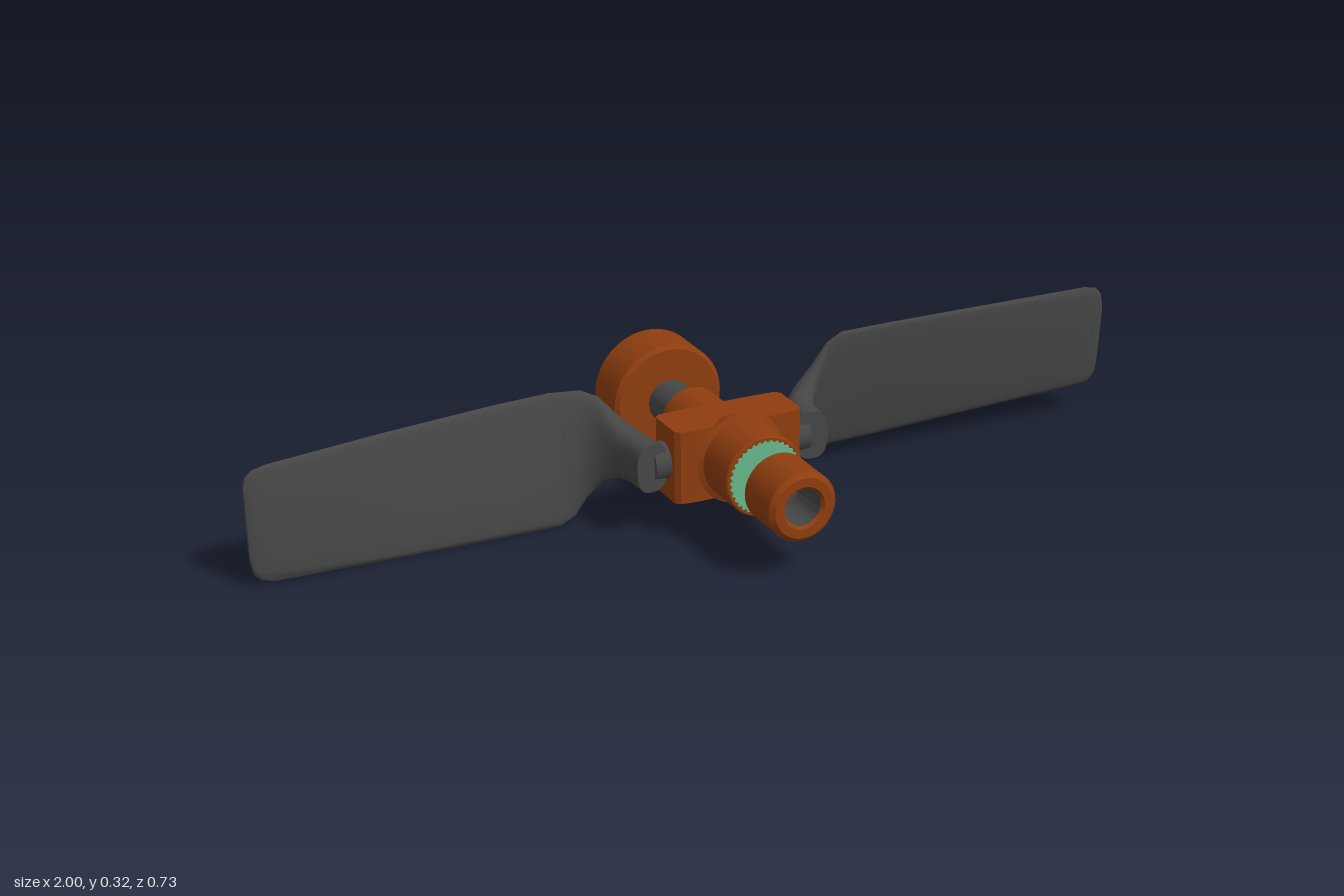
import * as THREE from 'three';
import { toCreasedNormals } from 'three/addons/utils/BufferGeometryUtils.js';

const material = (name, color) => {
  const m = new THREE.MeshStandardMaterial({ color });
  m.name = name;
  return m;
};

// Round part along z from [radius, z] pairs
function turned(profile) {
  const geo = new THREE.LatheGeometry(profile.map(p => new THREE.Vector2(p[0], p[1])), 48);
  return toCreasedNormals(geo.rotateX(Math.PI / 2), 0.45);
}

// Loft along a bent path; station: x, z, half thickness, top, bottom, chord tilt in z, skew in x
function bladeGeometry() {
  const stations = [
    [0.185, 0.055, 0.036, 0.054, -0.052, 0, 0],
    [0.190, 0.000, 0.035, 0.053, -0.052, 0, 0],
    [0.202, -0.040, 0.034, 0.053, -0.056, 0, 0.004],
    [0.222, -0.075, 0.029, 0.066, -0.074, 0.006, 0.012],
    [0.250, -0.098, 0.019, 0.102, -0.104, 0.015, 0.020],
    [0.280, -0.108, 0.012, 0.142, -0.118, 0.022, 0.018],
    [0.330, -0.111, 0.010, 0.159, -0.122, 0.025, 0],
    [0.450, -0.111, 0.010, 0.159, -0.119, 0.024, 0],
    [0.700, -0.109, 0.010, 0.156, -0.107, 0.020, 0],
    [0.950, -0.105, 0.010, 0.152, -0.093, 0.012, 0],
    [0.980, -0.104, 0.009, 0.145, -0.087, 0.010, 0],
    [0.994, -0.104, 0.008, 0.130, -0.076, 0.009, 0],
    [1.000, -0.104, 0.005, 0.105, -0.060, 0.008, 0],
  ];
  const sides = 28, pos = [], index = [];
  const rounded = (v, power) => Math.sign(v) * Math.pow(Math.abs(v), power);
  stations.forEach(([x, z, thick, top, bottom, tilt, skew], i) => {
    const a = stations[Math.max(i - 1, 0)], b = stations[Math.min(i + 1, stations.length - 1)];
    const length = Math.hypot(b[0] - a[0], b[1] - a[1]);
    const nx = -(b[1] - a[1]) / length, nz = (b[0] - a[0]) / length;
    for (let j = 0; j < sides; j++) {
      const angle = j / sides * Math.PI * 2;
      const u = rounded(Math.cos(angle), 0.7) * thick, v = rounded(Math.sin(angle), 0.8);
      pos.push(x + nx * u + skew * v, (top + bottom) / 2 + v * (top - bottom) / 2, z + nz * u + tilt * v);
    }
  });
  const last = (stations.length - 1) * sides, c0 = pos.length / 3;
  for (const s of [stations[0], stations[stations.length - 1]]) pos.push(s[0], (s[3] + s[4]) / 2, s[1]);
  for (let j = 0; j < sides; j++) {
    const k = (j + 1) % sides;
    for (let i = 0; i < last; i += sides) {
      index.push(i + j, i + sides + j, i + k, i + k, i + sides + j, i + sides + k);
    }
    index.push(c0, j, k, c0 + 1, last + k, last + j);
  }
  const geo = new THREE.BufferGeometry();
  geo.setAttribute('position', new THREE.Float32BufferAttribute(pos, 3));
  geo.setIndex(index);
  return toCreasedNormals(geo, 0.9);
}

export function createModel() {
  const model = new THREE.Group();
  model.name = 'propeller';
  const rust = material('rust orange', 0x8f3d0f);
  const grey = material('dark grey', 0x464646);
  const mint = material('mint green', 0x66b88c);

  const axis = new THREE.Group();
  axis.name = 'propellerAxis';
  axis.position.y = 0.16;
  model.add(axis);
  const add = (name, geo, mat) => {
    const mesh = new THREE.Mesh(geo, mat);
    mesh.name = name;
    axis.add(mesh);
    return mesh;
  };

  // Hub barrel with a flared collar
  add('hubBarrel', turned([[0, -0.15], [0.064, -0.15], [0.07, -0.144], [0.07, -0.04], [0.08, -0.02],
    [0.08, 0.04], [0.1, 0.088], [0.088, 0.093], [0.088, 0.194], [0.085, 0.197], [0, 0.197]]), rust);

  // Crosswise hub block with chamfered ends
  const half = [[0.06, -0.025], [0.135, -0.022], [0.145, -0.012], [0.145, 0.074], [0.135, 0.084], [0.1, 0.088]];
  const outline = [...half, ...half.map(([x, z]) => [-x, z]).reverse()];
  const block = new THREE.ExtrudeGeometry(new THREE.Shape(outline.map(p => new THREE.Vector2(...p))),
    { depth: 0.16, bevelEnabled: false });
  add('hubBlock', block.rotateX(Math.PI / 2).translate(0, 0.08, 0), rust);

  // Serrated washer on the front of the hub
  const teeth = Array.from({ length: 72 }, (_, i) => {
    const a = i / 72 * Math.PI * 2, r = i % 2 ? 0.075 : 0.081;
    return new THREE.Vector2(Math.cos(a) * r, Math.sin(a) * r);
  });
  const washer = new THREE.ExtrudeGeometry(new THREE.Shape(teeth), { depth: 0.004, bevelEnabled: false });
  add('washer', washer.translate(0, 0, 0.196), mint);

  // Front nut with a dark bore
  add('frontNut', turned([[0, 0.243], [0.065, 0.243], [0.075, 0.253], [0.075, 0.357], [0.065, 0.367],
    [0.046, 0.367], [0.04, 0.36]]), rust);
  add('nutBore', turned([[0.04, 0.36], [0.038, 0.27], [0, 0.27]]), grey);

  // Rear shaft and knob
  add('rearShaft', turned([[0, -0.26], [0.048, -0.26], [0.048, -0.17], [0, -0.17]]), grey);
  add('rearKnob', turned([[0, -0.365], [0.117, -0.365], [0.126, -0.357], [0.126, -0.258],
    [0.117, -0.25], [0, -0.25]]), rust);

  // Two blades, half a turn apart
  const blade = bladeGeometry();
  add('leftBlade', blade, grey);
  add('rightBlade', blade, grey).rotation.z = Math.PI;

  // Pins joining the blades to the hub block
  for (const [name, x] of [['leftPin', 0.15], ['rightPin', -0.15]]) {
    add(name, new THREE.CylinderGeometry(0.04, 0.04, 0.06, 24).rotateZ(Math.PI / 2).translate(x, 0, 0.025), grey);
  }
  return model;
}
